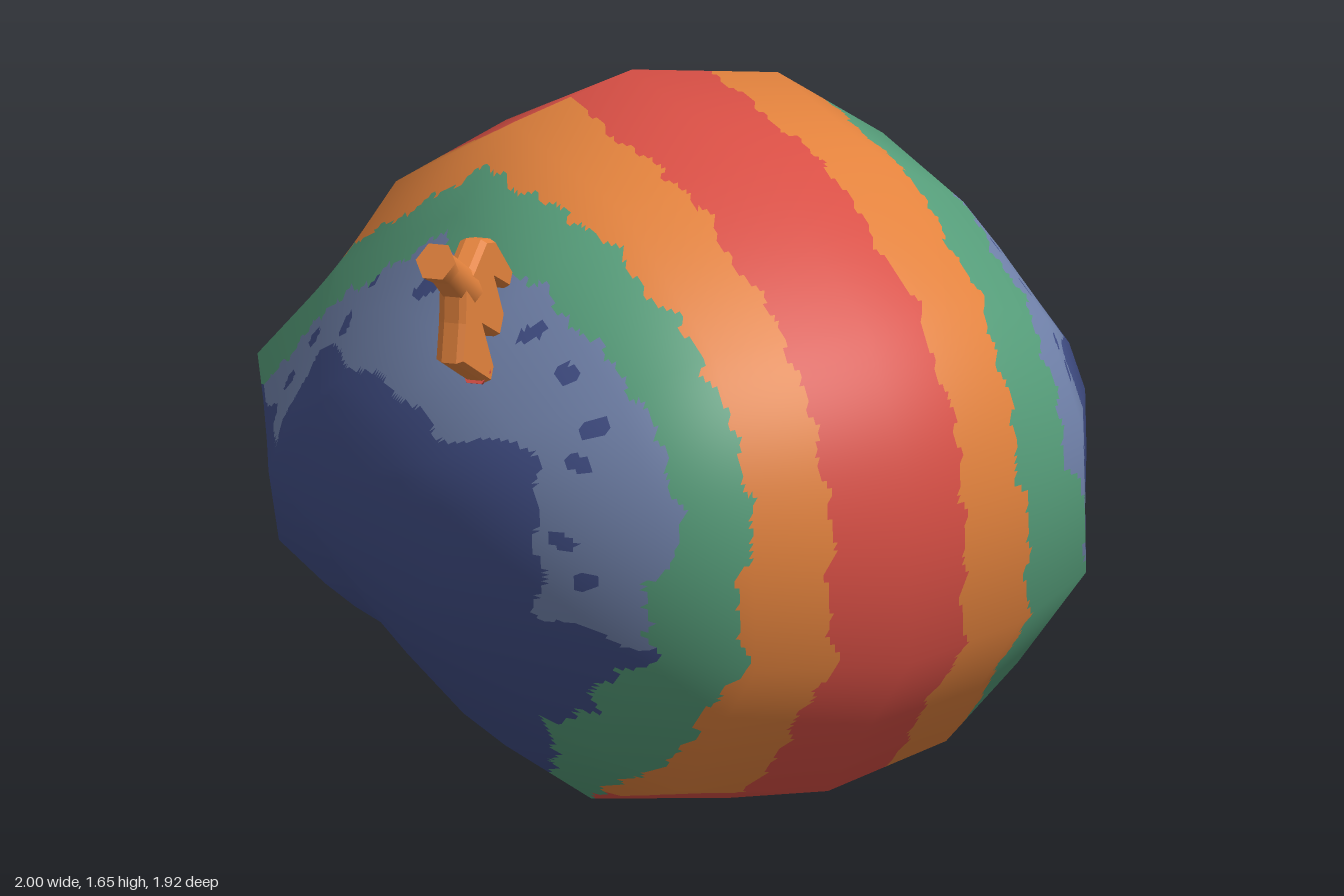
import * as THREE from 'three';

const mat = (name, color) => {
  const m = new THREE.MeshStandardMaterial({ color });
  m.name = name;
  return m;
};

const CX = 0.045; // body mid-plane

// side outline of the body as (z, y): top, front, bottom, underside notch, back
const PROFILE = [
  [-0.16, 1.65], [0.37, 1.53], [0.77, 1.26], [0.945, 0.95], [0.96, 0.49],
  [0.63, 0.11], [0.23, 0], [0.03, 0.05], [-0.05, 0.13], [-0.33, 0.42],
  [-0.83, 0.52], [-0.96, 0.95], [-0.67, 1.41],
];
// sections by distance from the mid-plane:
// distance, y scale, z scale, z shift, underside y scale, rear top corner scale, top z shift
const HALF = [
  [0, 1, 1, 0, 1, 1, 0], [0.37, 0.935, 0.91, 0, 0.98, 0.95, 0.04],
  [0.6, 0.74, 0.84, 0, 0.92, 0.86, 0.12], [0.76, 0.52, 0.585, 0.01, 0.84, 0.87, 0.06],
  [0.9, 0.31, 0.37, 0.02, 0.6, 0.95, 0], [0.955, 0, 0, -0.25, 0, 1, 0],
];
const SECTIONS = [
  ...HALF.slice(1).reverse().map(([d, ...r]) => [-d, ...r]),
  ...HALF,
];

// spots in the pale side bands, as (z, y)
const SPOTS = [
  [0.5, 1.18], [0.37, 1.25], [0.22, 1.28], [0.04, 1.29], [-0.22, 1.15], [-0.37, 1.08],
  [-0.23, 1.25], [-0.4, 0.98], [0.61, 1.0], [0.66, 0.73], [0.61, 0.82], [0.62, 1.08],
];

// 0 red, 1 orange, 2 green, 3 pale blue, 4 navy
function colourAt(x, y, z) {
  const step = THREE.MathUtils.smoothstep;
  const t = Math.atan2(y - 0.825, z) * 10;
  const side = x > CX ? 0 : 1.7;
  const wob = 0.009 * Math.sin(t * 1.9 + side) + 0.007 * Math.sin(t * 4.3 + 2 * side) + 0.005 * Math.sin(t * 7.7);
  const d = Math.abs(x - CX) + wob;
  const low = (1 - step(y, 0.2, 0.45)) * (1 - step(z, 0.2, 0.5));
  const lowFront = (1 - step(y, 0.7, 0.9)) * step(z, -0.1, 0.3);
  if (d < 0.2 - 0.015 * z) return 0;
  if (d < 0.475 - 0.12 * z + 0.03 * lowFront - 0.1 * low) {
    const edge = 0.03 * Math.sin(25 * x);
    const under = y < 0.1 + edge / 3 || (z < -0.6 && y < 0.72 + edge) || (z < 0.02 && y < 0.6);
    return under ? 0 : 1;
  }
  if (d < 0.64 - 0.13 * z + 0.07 * lowFront - 0.19 * low) return 2;
  const w = 0.018 * Math.sin(22 * z + 9 * y + side) + 0.014 * Math.sin(41 * y - 17 * z);
  const pale = y > 0.61 + w
    && (z > 0.55 + w || y > 1.11 - 0.22 * Math.max(z, 0) + w || (z < -0.24 + w && y > 0.9 + w));
  if (!pale) return 4;
  const spotted = SPOTS.some(([sz, sy], i) => {
    const a = z - sz, b = y - sy, k = i % 2 ? 0.5 : -0.5;
    return (a + k * b) ** 2 + 2.5 * (b - k * a) ** 2 < 0.0012;
  });
  return spotted ? 4 : 3;
}

function bodyGeometry() {
  const n = PROFILE.length, m = SECTIONS.length;
  // coarse cage and its smooth normals
  const cage = [];
  for (const [d, sy, sz, shift, underY, corner, topShift] of SECTIONS) {
    PROFILE.forEach(([z, y], j) => {
      const k = j === 12 ? corner : 1;
      const s = j === 9 || j === 10 ? underY : sy * k;
      const dz = j === 0 ? shift + topShift : shift;
      cage.push(new THREE.Vector3(CX + d, 0.825 + (y - 0.825) * s, dz + z * sz * k));
    });
  }
  const idx = [];
  for (let i = 0; i < m - 1; i++) {
    for (let j = 0; j < n; j++) {
      const a = i * n + j, b = i * n + (j + 1) % n;
      idx.push(a, b, a + n, b, b + n, a + n);
    }
  }
  const coarse = new THREE.BufferGeometry().setFromPoints(cage);
  coarse.setIndex(idx);
  coarse.computeVertexNormals();
  const normals = cage.map((_, k) => {
    if (k < n) return new THREE.Vector3(-1, 0, 0);
    if (k >= n * (m - 1)) return new THREE.Vector3(1, 0, 0);
    return new THREE.Vector3().fromBufferAttribute(coarse.attributes.normal, k);
  });

  // fine steps inside each cage face
  const us = [], vs = [];
  for (let i = 0; i < m - 1; i++) {
    const c = Math.ceil((SECTIONS[i + 1][0] - SECTIONS[i][0]) / 0.012);
    for (let k = 0; k < c; k++) us.push([i, k / c]);
  }
  us.push([m - 2, 1]);
  for (let j = 0; j < n; j++) {
    const p = PROFILE[j], q = PROFILE[(j + 1) % n];
    const c = Math.ceil(Math.hypot(q[0] - p[0], q[1] - p[1]) / 0.02);
    for (let k = 0; k < c; k++) vs.push([j, k / c]);
  }
  const blend = (arr, [i, u], [j, v]) => {
    const a = i * n + j, b = i * n + (j + 1) % n;
    const lo = arr[a].clone().lerp(arr[b], v);
    return lo.lerp(arr[a + n].clone().lerp(arr[b + n], v), u);
  };
  const pos = [], nor = [];
  for (const u of us) {
    for (const v of vs) {
      pos.push(blend(cage, u, v));
      nor.push(...blend(normals, u, v).normalize().toArray());
    }
  }

  // sort the small faces into one group per colour
  const buckets = [[], [], [], [], []];
  const add = (a, b, c) => {
    const p = pos[a].clone().add(pos[b]).add(pos[c]).divideScalar(3);
    buckets[colourAt(p.x, p.y, p.z)].push(a, b, c);
  };
  const nv = vs.length;
  for (let i = 0; i < us.length - 1; i++) {
    for (let j = 0; j < nv; j++) {
      const a = i * nv + j, b = i * nv + (j + 1) % nv;
      add(a, b, a + nv);
      add(b, b + nv, a + nv);
    }
  }
  const geo = new THREE.BufferGeometry().setFromPoints(pos);
  geo.setAttribute('normal', new THREE.Float32BufferAttribute(nor, 3));
  geo.setIndex(buckets.flat());
  let start = 0;
  buckets.forEach((b, k) => {
    geo.addGroup(start, b.length, k);
    start += b.length;
  });
  return geo;
}

// three-fingered hand lying in a slanted upright plane; points are (x, y) seen from the front
function buildHand(orange, red) {
  const hand = new THREE.Group();
  hand.name = 'hand';
  const turn = Math.atan(0.76);
  hand.rotation.y = turn;
  hand.position.set(-0.96, 0, 0.5);
  const flat = ([x, y]) => new THREE.Vector2((x + 0.96) / Math.cos(turn), y);
  const add = (name, geo, material) => {
    const mesh = new THREE.Mesh(geo, material);
    mesh.name = name;
    hand.add(mesh);
    return mesh;
  };
  const outline = [
    [-0.86, 1.41], [-0.81, 1.435], [-0.74, 1.48], [-0.69, 1.465], [-0.59, 1.36], [-0.605, 1.335],
    [-0.7, 1.39], [-0.63, 1.255], [-0.65, 1.23], [-0.77, 1.3], [-0.695, 1.16],
    [-0.715, 1.145], [-0.88, 1.245], [-0.865, 1.33],
  ].map(flat);
  const palm = new THREE.ExtrudeGeometry(new THREE.Shape(outline), {
    depth: 0.035, bevelSize: 0.008, bevelThickness: 0.015, bevelSegments: 1,
  });
  add('palmAndFingers', palm.translate(0, 0, -0.0175), orange);

  const limb = (name, from, to, r0, r1, material, z = 0) => {
    const a = flat(from), b = flat(to);
    const mesh = add(name, new THREE.CylinderGeometry(r1, r0, a.distanceTo(b), 6), material);
    mesh.position.set((a.x + b.x) / 2, (a.y + b.y) / 2, z);
    mesh.rotation.z = Math.atan2(a.x - b.x, b.y - a.y);
  };
  limb('wristEnd', [-0.965, 1.51], [-0.92, 1.475], 0.048, 0.038, orange);
  limb('wrist', [-0.93, 1.485], [-0.8, 1.385], 0.038, 0.048, orange);
  limb('lowerClaw', [-0.725, 1.168], [-0.69, 1.14], 0.036, 0.02, red);
  limb('middleClaw', [-0.66, 1.262], [-0.635, 1.235], 0.024, 0.016, red, -0.022);
  return hand;
}

export function createModel() {
  const red = mat('red', 0xd84f45);
  const orange = mat('orange', 0xe2823d);
  const green = mat('green', 0x559c79);
  const paleBlue = mat('paleBlue', 0x6f80a8);
  const navy = mat('navy', 0x404d84);

  const model = new THREE.Group();
  model.name = 'stripedBody';
  const body = new THREE.Mesh(bodyGeometry(), [red, orange, green, paleBlue, navy]);
  body.name = 'body';
  model.add(body, buildHand(orange, red));
  return model;
}
